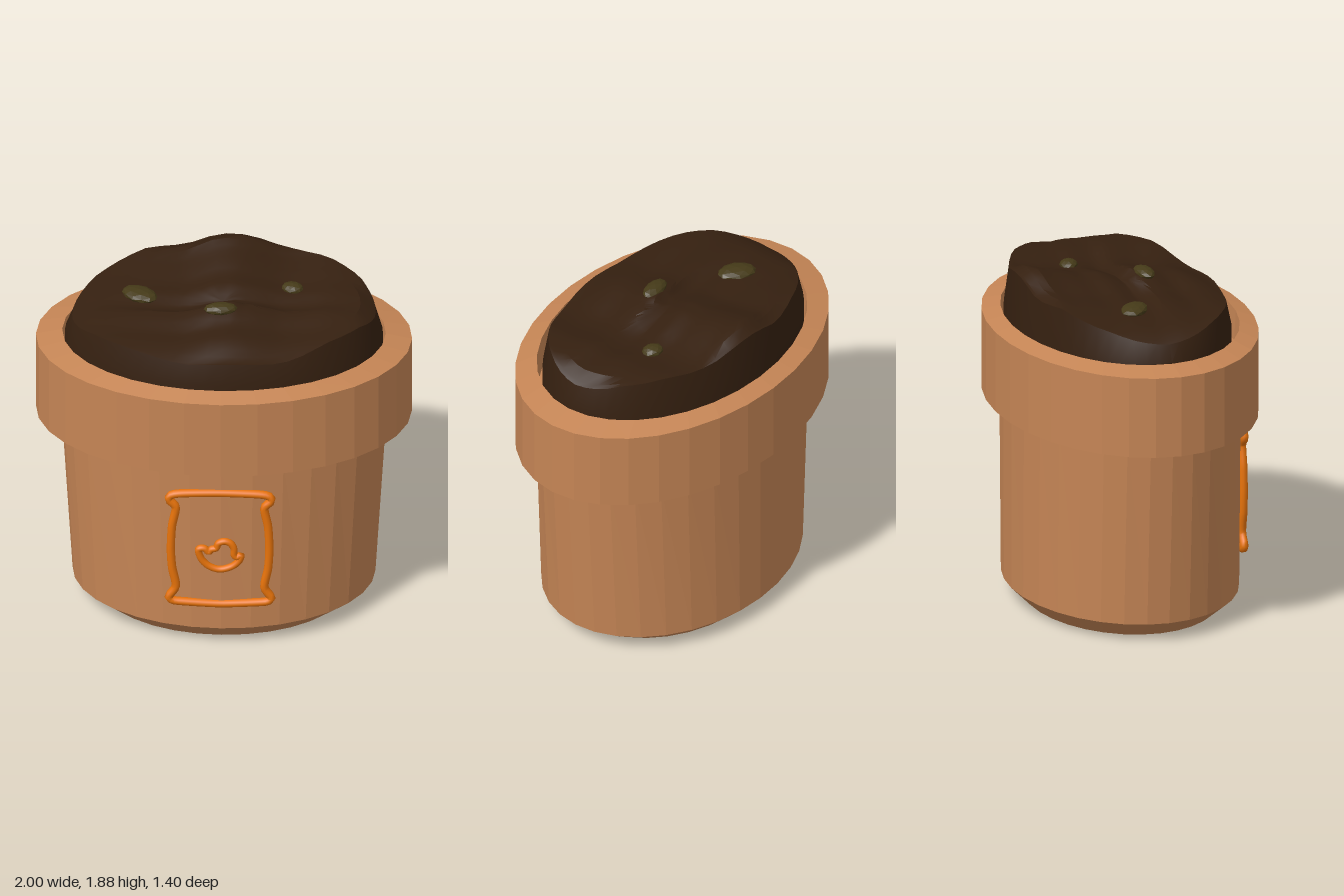
import * as THREE from 'three';
import { toCreasedNormals } from 'three/addons/utils/BufferGeometryUtils.js';

const material = (color, flatShading = false) =>
  new THREE.MeshStandardMaterial({ color, flatShading });

function addMesh(parent, name, geometry, mat) {
  const mesh = new THREE.Mesh(geometry, mat);
  mesh.name = name;
  parent.add(mesh);
  return mesh;
}

// Oval lathe: each profile row is [half width, half depth, height]
function ovalLathe(rows, segments) {
  const g = new THREE.LatheGeometry(rows.map(([rx, , y]) => new THREE.Vector2(rx, y)), segments);
  const p = g.attributes.position;
  for (let i = 0; i < p.count; i++) {
    const [rx, rz] = rows[i % rows.length];
    if (rx > 0) p.setZ(i, p.getZ(i) * rz / rx);
  }
  g.computeVertexNormals();
  return g;
}

// Linear interpolation through a list of [position, height]
function sample(list, t) {
  if (t <= list[0][0]) return list[0][1];
  for (let i = 1; i < list.length; i++) {
    const [a, ya] = list[i - 1], [b, yb] = list[i];
    if (t <= b) return ya + (yb - ya) * (t - a) / (b - a);
  }
  return list[list.length - 1][1];
}

// Height of the soil above the rim, along its length and across its depth
const ALONG = [[-0.84, 0.05], [-0.8, 0.1], [-0.7, 0.16], [-0.55, 0.2], [-0.4, 0.225], [-0.2, 0.24],
  [-0.05, 0.3], [0.05, 0.31], [0.15, 0.28], [0.3, 0.22], [0.4, 0.21], [0.55, 0.23], [0.72, 0.2], [0.8, 0.14], [0.84, 0.08]];
const ACROSS = [[-0.55, 0.27], [-0.48, 0.31], [-0.4, 0.28], [-0.27, 0.25], [-0.2, 0.23], [-0.1, 0.23],
  [0, 0.19], [0.04, 0.2], [0.08, 0.23], [0.14, 0.22], [0.25, 0.18], [0.35, 0.18], [0.42, 0.16], [0.51, 0.12]];
const RIM = 1.585;

function soilHeight(x, z) {
  const ends = Math.min(1, (x / 0.82) ** 2);
  const across = sample(ACROSS, z + 0.02 * Math.sin(x * 6)) / 0.31;
  return RIM + sample(ALONG, x) * (across + (1 - across) * ends);
}

// Soil mound: concentric rings raised to the height field, with a steep skirt
function soilGeometry() {
  const N = 56, rings = [[1, 1.4], [1, RIM], [0.955]];
  for (let i = 13; i >= 0; i--) rings.push([0.93 * i / 13]);
  const pos = [], index = [];
  rings.forEach(([t, y], r) => {
    for (let i = 0; i < N; i++) {
      const a = i / N * Math.PI * 2, s = Math.sin(a);
      const x = 0.845 * t * Math.cos(a);
      const z = (s > 0 ? 0.555 : 0.585) * t * s;
      pos.push(x, y ?? soilHeight(x, z), z);
      if (r === 0) continue;
      const j = (i + 1) % N, A = (r - 1) * N, B = r * N;
      index.push(A + i, B + i, A + j);
      if (r < rings.length - 1) index.push(A + j, B + i, B + j);
    }
  });
  const g = new THREE.BufferGeometry();
  g.setAttribute('position', new THREE.Float32BufferAttribute(pos, 3));
  g.setIndex(index);
  return toCreasedNormals(g, 0.4);
}

// Closed rounded line in a plane facing the front
function outline(points, z, radius, tension) {
  const curve = new THREE.CatmullRomCurve3(
    points.map(([x, y]) => new THREE.Vector3(x, y, z)), true, 'catmullrom', tension);
  return new THREE.TubeGeometry(curve, 120, radius, 10, true);
}

export function createModel() {
  const model = new THREE.Group();
  const clay = material(0xc58555, true);
  const orange = material(0xe8730a);
  const stone = material(0x453a18, true);

  // Oval pot body with a bevelled foot
  addMesh(model, 'potBody', ovalLathe([
    [0, 0, 0], [0.66, 0.505, 0], [0.805, 0.61, 0.105], [0.866, 0.61, 1.12],
  ], 32), clay);

  // Overhanging rim, continued down inside the pot
  addMesh(model, 'rim', ovalLathe([
    [0.85, 0.6, 1.095], [0.87, 0.615, 1.095], [1, 0.7, 1.11], [1, 0.7, 1.555],
    [0.86, 0.605, RIM], [0.85, 0.595, 1.42], [0, 0, 1.42],
  ], 32), clay);

  addMesh(model, 'soil', soilGeometry(), material(0x352010));

  // Flat stones lying in the soil: x, z, half width, half height, half depth, turn
  [[-0.45, -0.075, 0.105, 0.03, 0.07, -0.6],
   [-0.015, 0.13, 0.09, 0.03, 0.05, 0.1],
   [0.36, -0.165, 0.06, 0.03, 0.05, -0.3]].forEach(([x, z, w, h, d, turn]) => {
    const pebble = addMesh(model, 'pebble', new THREE.IcosahedronGeometry(1, 1), stone);
    pebble.scale.set(w, h, d);
    pebble.rotation.y = turn;
    pebble.position.set(x, soilHeight(x, z) + 0.004, z);
  });

  // Raised sack outline on the front: right half, then mirrored
  const half = [[0, 0.948], [0.2, 0.942], [0.262, 0.93], [0.272, 0.9], [0.235, 0.855], [0.255, 0.74],
    [0.262, 0.6], [0.255, 0.48], [0.235, 0.365], [0.272, 0.3], [0.255, 0.276], [0.2, 0.268], [0, 0.258]];
  const mirrored = half.slice(1, -1).reverse().map(([x, y]) => [-x, y]);
  addMesh(model, 'sackOutline',
    outline([...half, ...mirrored].map(([x, y]) => [x - 0.005, y]), 0.603, 0.023, 0.4), orange);

  // Small mound in a bowl inside the sack
  addMesh(model, 'moundOutline', outline([
    [-0.12, 0.6], [-0.1, 0.545], [-0.06, 0.505], [-0.005, 0.488], [0.055, 0.505], [0.095, 0.54],
    [0.108, 0.577], [0.085, 0.565], [0.07, 0.58], [0.068, 0.62], [0.05, 0.65], [0.02, 0.662],
    [-0.012, 0.65], [-0.025, 0.62], [-0.05, 0.612], [-0.065, 0.595], [-0.085, 0.615], [-0.11, 0.617],
  ], 0.63, 0.019, 0.5), orange);

  return model;
}
